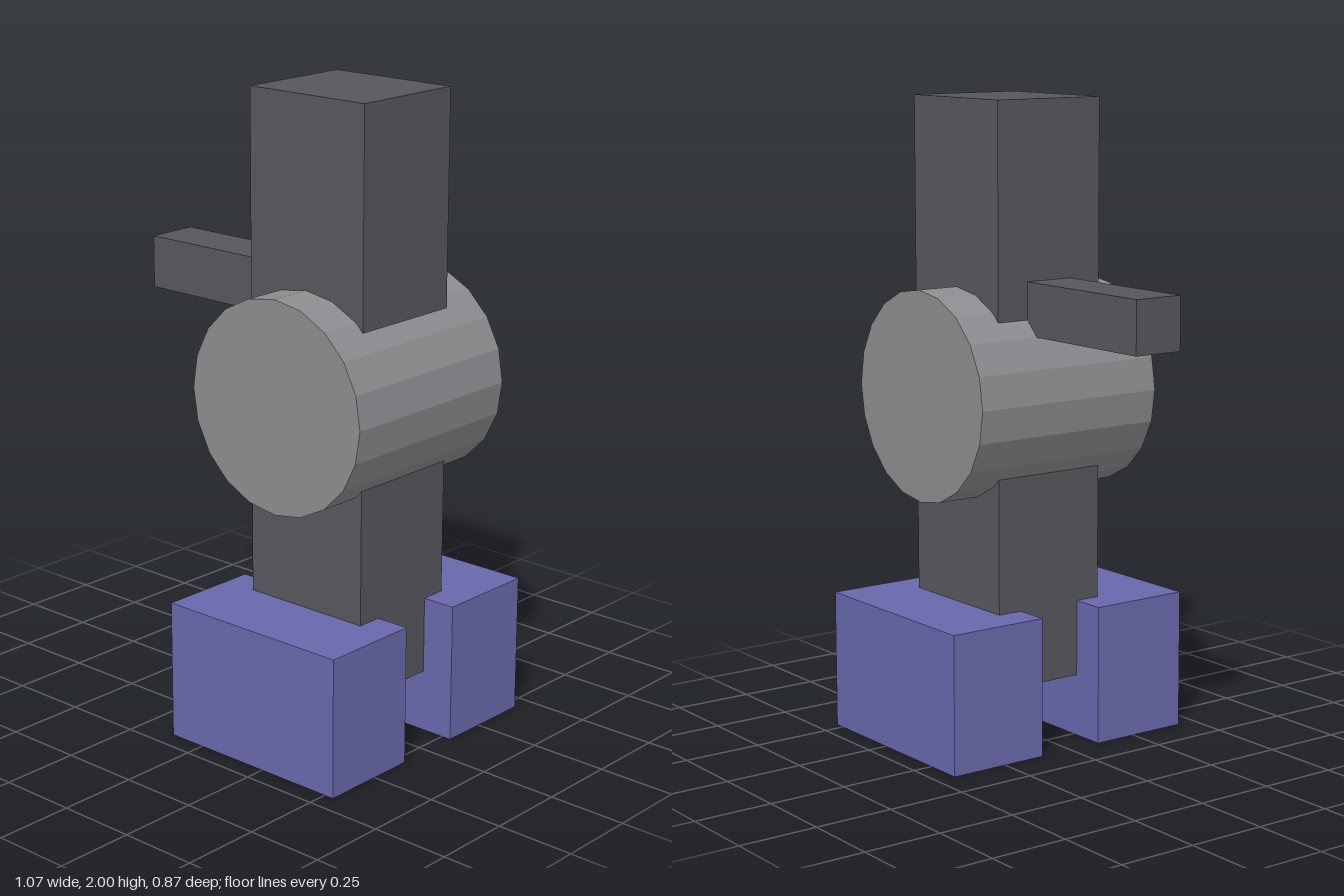
import * as THREE from 'three';

export function createModel() {
  const model = new THREE.Group();

  const material = (name, color, flatShading = false) => {
    const m = new THREE.MeshStandardMaterial({ color, flatShading });
    m.name = name;
    return m;
  };
  const darkGrey = material('dark grey', 0x57565c);
  const midGrey = material('mid grey', 0x8c8d90, true);
  const blue = material('muted blue', 0x6868ac);

  const add = (name, geometry, mat, x, y, z) => {
    const mesh = new THREE.Mesh(geometry, mat);
    mesh.name = name;
    mesh.position.set(x, y, z);
    model.add(mesh);
    return mesh;
  };

  // Upright column running through the drum and down between the feet
  add('column', new THREE.BoxGeometry(0.437, 1.804, 0.382), darkGrey, 0.204, 1.098, 0);

  // Side arm
  add('arm', new THREE.BoxGeometry(0.53, 0.164, 0.164), darkGrey, -0.269, 1.372, 0);

  // Faceted drum lying along z
  const drum = new THREE.CylinderGeometry(0.328, 0.328, 0.656, 20);
  drum.rotateX(Math.PI / 2);
  add('drum', drum, midGrey, 0.204, 1.098, 0);

  // Pair of block feet, front and back
  const foot = new THREE.BoxGeometry(0.656, 0.437, 0.328);
  for (const side of [1, -1]) {
    add(side > 0 ? 'frontFoot' : 'backFoot', foot, blue, 0.204, 0.2185, side * 0.273);
  }

  return model;
}
